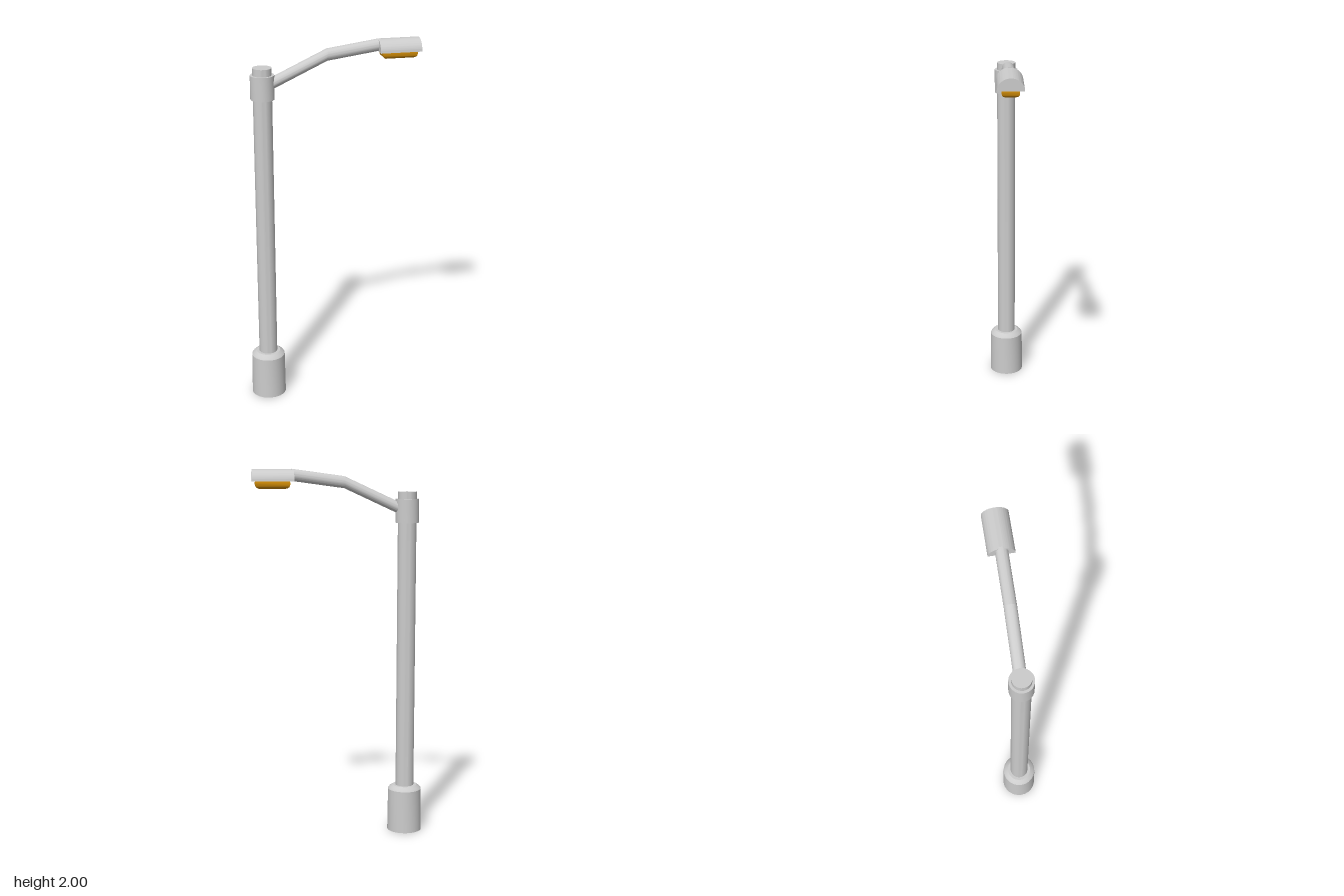
import * as THREE from 'three';
import { toCreasedNormals } from 'three/addons/utils/BufferGeometryUtils.js';

const POLE_X = -0.37;

export function createModel() {
  const group = new THREE.Group();
  const grey = new THREE.MeshStandardMaterial({ color: 0xcccccc });
  const amber = new THREE.MeshStandardMaterial({ color: 0xd08c08 });

  const add = (name, geometry, material = grey) => {
    const mesh = new THREE.Mesh(geometry, material);
    mesh.name = name;
    group.add(mesh);
    return mesh;
  };

  // Upright parts turned around the pole axis, from [radius, y] profiles
  const turned = (name, profile, sides = 32) => {
    const points = profile.map(([r, y]) => new THREE.Vector2(r, y));
    const geometry = toCreasedNormals(new THREE.LatheGeometry(points, sides), 0.5);
    add(name, geometry).position.x = POLE_X;
  };
  turned('base', [[0, 0], [0.095, 0], [0.092, 0.235], [0.084, 0.246], [0.066, 0.257], [0, 0.257]], 24);
  turned('pole', [[0, 0.24], [0.05, 0.24], [0.05, 1.88], [0, 1.88]]);
  turned('collar', [[0, 1.715], [0.063, 1.715], [0.063, 1.842], [0, 1.842]]);

  // Bent arm: a cylinder whose three rings are moved to the bend stations
  const stations = [[-0.35, 1.782], [-0.03, 1.931], [0.25, 1.97]];
  const arm = new THREE.CylinderGeometry(0.032, 0.032, 2, 32, 2);
  const p = arm.attributes.position;
  for (let i = 0; i < p.count; i++) {
    const [x, y] = stations[Math.round(p.getY(i)) + 1];
    p.setXYZ(i, x, y - p.getX(i), p.getZ(i));
  }
  add('arm', toCreasedNormals(arm, 0.25));

  // Lamp head: a half-round shell with flat ends and underside
  const section = new THREE.Shape();
  section.absellipse(0, 0, 0.068, 0.063, 0, Math.PI, false);
  section.closePath();
  const head = new THREE.ExtrudeGeometry(section, { depth: 0.221, bevelEnabled: false, curveSegments: 24 });
  head.rotateY(Math.PI / 2);
  head.translate(0.24, 1.937, 0);
  add('lampHead', toCreasedNormals(head, 0.5));

  // Lamp lens: a rounded slab below the head
  const rim = new THREE.Shape();
  const w = 0.068, d = 0.02;
  rim.moveTo(-w, -d).lineTo(w, -d).lineTo(w, d).lineTo(-w, d).closePath();
  const lens = new THREE.ExtrudeGeometry(rim, {
    depth: 0.01, bevelThickness: 0.022, bevelSize: 0.024, bevelSegments: 5,
  });
  lens.rotateX(Math.PI / 2);
  lens.translate(0.352, 1.93, 0);
  add('lampLens', toCreasedNormals(lens, 0.6), amber);

  return group;
}
